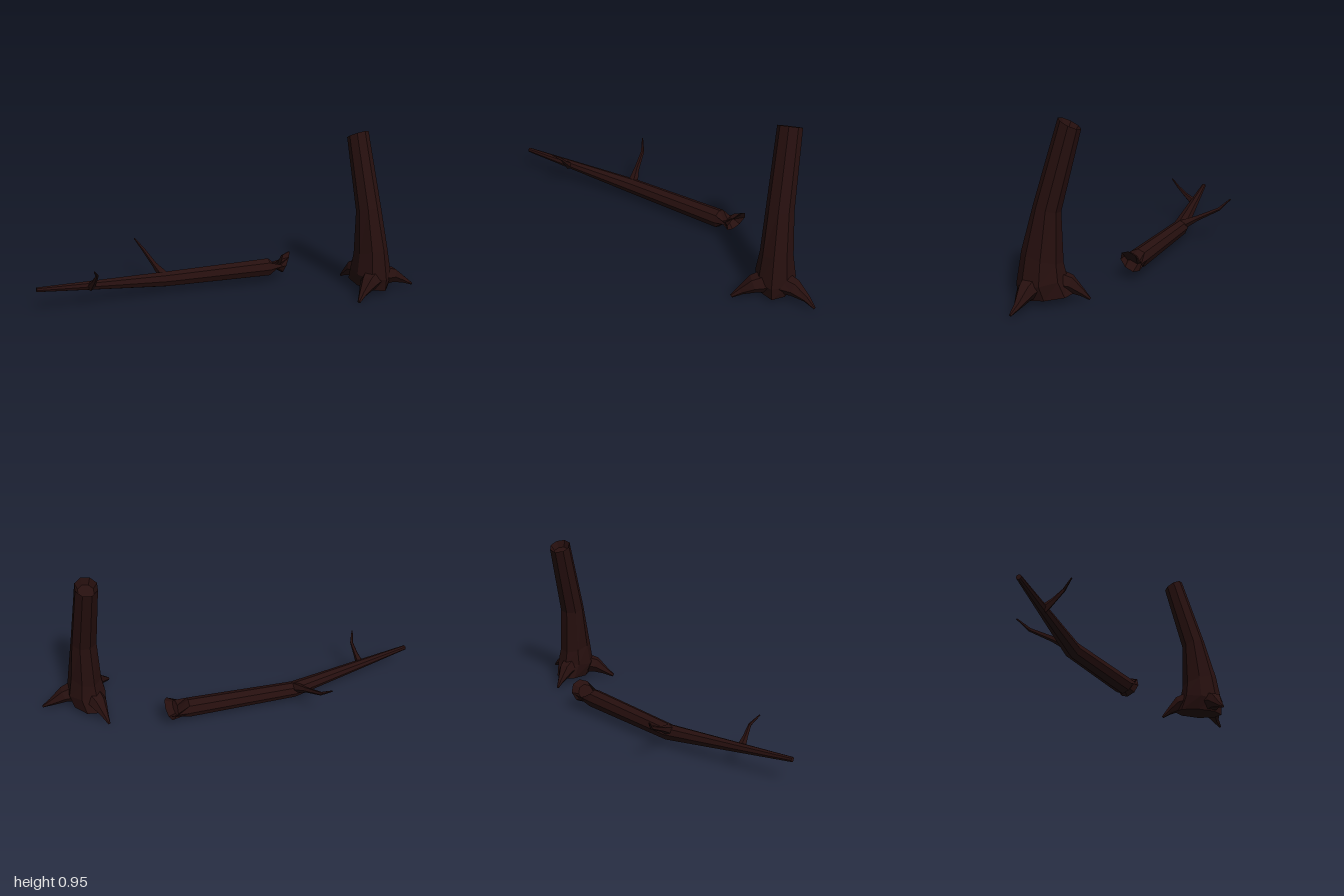
import * as THREE from 'three';

const V = (a) => new THREE.Vector3(...a);

// Skin a list of rings { c, u, v }: point = c + u cos(a) + v sin(a), with u x v along the run
function loft(rings, sides) {
  const pts = rings.map(({ c, u, v }) => Array.from({ length: sides }, (_, i) => {
    const a = (i / sides) * Math.PI * 2;
    return c.clone().addScaledVector(u, Math.cos(a)).addScaledVector(v, Math.sin(a));
  }));
  const out = [];
  const tri = (...p) => p.forEach((q) => out.push(q.x, q.y, q.z));
  const last = rings.length - 1;
  for (let i = 0; i < sides; i++) {
    const j = (i + 1) % sides;
    for (let r = 0; r < last; r++) {
      const a = pts[r], b = pts[r + 1];
      tri(a[i], a[j], b[j]);
      tri(a[i], b[j], b[i]);
    }
    tri(rings[0].c, pts[0][j], pts[0][i]);
    tri(rings[last].c, pts[last][i], pts[last][j]);
  }
  const g = new THREE.BufferGeometry();
  g.setAttribute('position', new THREE.Float32BufferAttribute(out, 3));
  g.computeVertexNormals();
  return g;
}

// Rings square to a path of [x, y, z, radius]
function pathRings(path) {
  const p = path.map((q) => V(q.slice(0, 3)));
  return path.map((q, i) => {
    const t = p[Math.min(i + 1, p.length - 1)].clone().sub(p[Math.max(i - 1, 0)]).normalize();
    const s = t.clone().cross(V([0, 1, 0])).normalize();
    return { c: p[i], u: s.clone().multiplyScalar(q[3]), v: t.clone().cross(s).multiplyScalar(q[3]) };
  });
}

// Sunken inner face of a broken end
function hollow(ring, scale, offset) {
  return {
    c: ring.c.clone().add(V(offset)),
    u: ring.u.clone().multiplyScalar(scale),
    v: ring.v.clone().multiplyScalar(scale),
  };
}

export function createModel() {
  const model = new THREE.Group();
  model.name = 'brokenTree';
  const bark = new THREE.MeshStandardMaterial({ color: 0x260f0e });
  bark.name = 'dark bark';
  bark.flatShading = true;

  const add = (parent, name, geometry) => {
    const mesh = new THREE.Mesh(geometry, bark);
    mesh.name = name;
    parent.add(mesh);
  };

  // Leaning stump: x, y, z, half width, half depth, forward rise of the ring
  const stump = new THREE.Group();
  stump.name = 'stump';
  model.add(stump);
  const trunk = [
    [0.77, 0.04, 0.415, 0.09, 0.145, -0.012],
    [0.765, 0.12, 0.437, 0.11, 0.13, -0.02],
    [0.763, 0.245, 0.43, 0.09, 0.107, 0.03],
    [0.76, 0.5, 0.4, 0.075, 0.07, 0.02],
    [0.765, 0.928, 0.281, 0.066, 0.057, 0.028],
  ].map(([x, y, z, w, d, rise]) => ({ c: V([x, y, z]), u: V([0, rise, d]), v: V([w, 0, 0]) }));
  trunk.push(hollow(trunk[4], 0.7, [0, -0.035, 0.01]));
  add(stump, 'trunk', loft(trunk, 8));

  // Roots
  const roots = {
    rightRoot: [[0.75, 0.1, 0.48, 0.07], [0.66, 0.085, 0.52, 0.05],
      [0.6, 0.045, 0.54, 0.024], [0.552, 0.012, 0.56, 0.01]],
    leftRoot: [[0.79, 0.1, 0.48, 0.07], [0.88, 0.09, 0.505, 0.048],
      [0.95, 0.052, 0.53, 0.022], [0.998, 0.02, 0.56, 0.007]],
    backRoot: [[0.76, 0.12, 0.39, 0.07], [0.76, 0.1, 0.295, 0.048],
      [0.76, 0.05, 0.23, 0.02], [0.76, 0.017, 0.192, 0.007]],
  };
  for (const [name, path] of Object.entries(roots)) add(stump, name, loft(pathRings(path), 6));

  // Fallen log, thin tip to slanted hollow butt
  const log = new THREE.Group();
  log.name = 'fallenLog';
  model.add(log);
  const body = pathRings([
    [-0.998, 0.148, -0.432, 0.014],
    [-0.24, 0.085, -0.268, 0.047],
    [0.36, 0.095, -0.035, 0.056],
  ]);
  const butt = { c: V([0.468, 0.115, 0]), u: V([-0.04, 0, 0.056]), v: V([0.022, 0.066, 0.012]) };
  body.push(butt, hollow(butt, 0.7, [-0.035, 0, -0.014]));
  add(log, 'logBody', loft(body, 8));

  // Bent twigs
  const twigs = {
    backTwig: [[-0.245, 0.1, -0.27, 0.034], [-0.248, 0.145, -0.37, 0.017],
      [-0.244, 0.205, -0.5, 0.011], [-0.264, 0.263, -0.572, 0.004]],
    frontTwig: [[-0.695, 0.115, -0.36, 0.026], [-0.7, 0.165, -0.305, 0.014],
      [-0.706, 0.215, -0.258, 0.009], [-0.745, 0.262, -0.216, 0.004]],
  };
  for (const [name, path] of Object.entries(twigs)) add(log, name, loft(pathRings(path), 5));

  return model;
}
